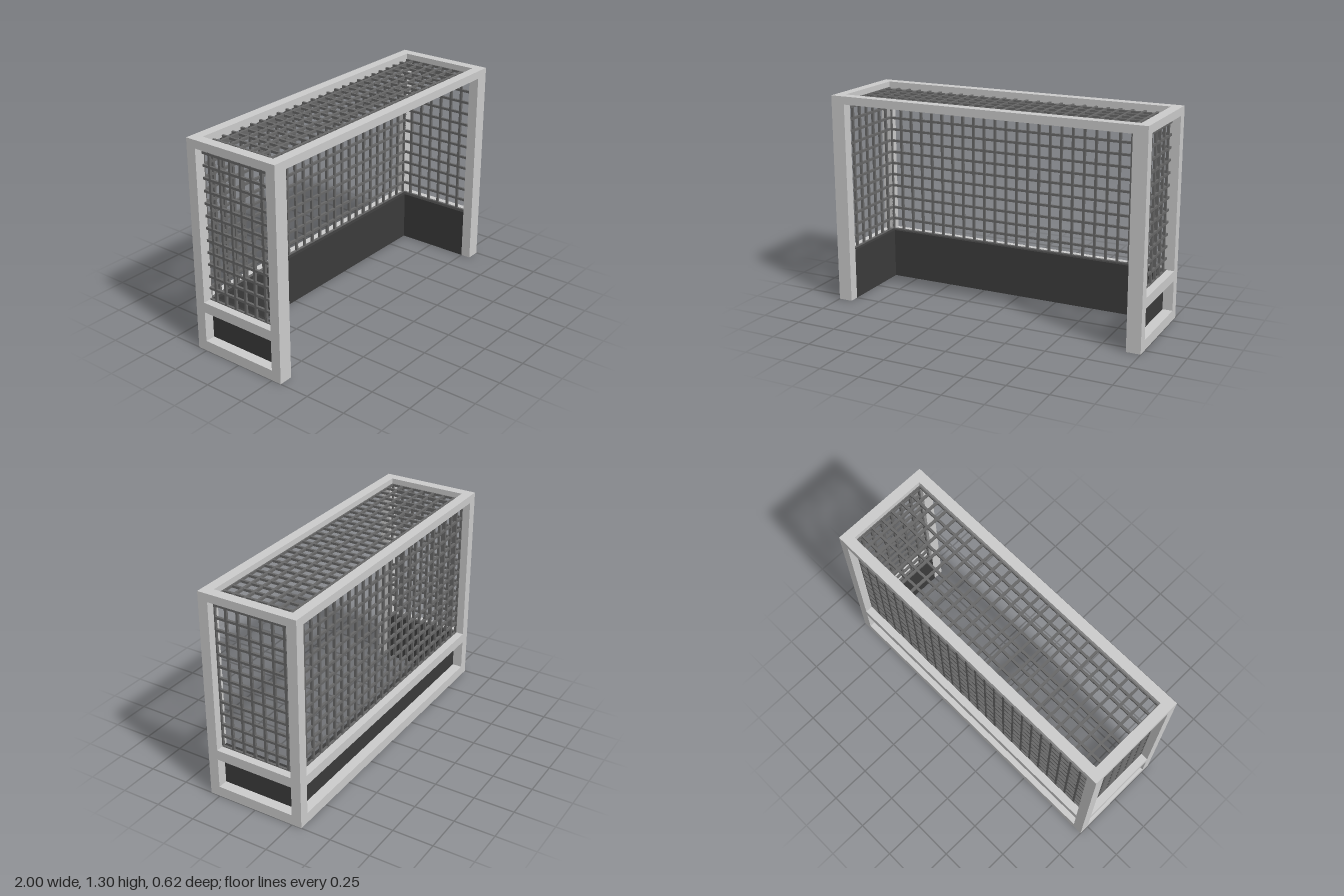
import * as THREE from 'three';

const frameMat = new THREE.MeshStandardMaterial({ color: 0xcccccc });
const boardMat = new THREE.MeshStandardMaterial({ color: 0x3b3b3b });
const netMat = new THREE.MeshStandardMaterial({ color: 0x686868 });

const W = 1, H = 1.3, D = 0.312; // half width, height, half depth
const T = 0.0625;                // frame thickness
const BAR = 0.049;               // top bar height
const IX = W - T, IZ = D - T;    // inner faces of the frame
const BOARD = 0.025, RAIL_TOP = 0.315;
const S = 0.0145, STEP = 0.075;  // net strand thickness and spacing

// Box given by its min and max corners
function block(parent, name, mat, [x0, y0, z0], [x1, y1, z1]) {
  const mesh = new THREE.Mesh(new THREE.BoxGeometry(x1 - x0, y1 - y0, z1 - z0), mat);
  mesh.position.set((x0 + x1) / 2, (y0 + y1) / 2, (z0 + z1) / 2);
  mesh.name = name;
  parent.add(mesh);
}

// Same box on the left (+x) and on the right (-x)
function pair(parent, name, mat, [x0, y0, z0], [x1, y1, z1]) {
  block(parent, name + 'Left', mat, [x0, y0, z0], [x1, y1, z1]);
  block(parent, name + 'Right', mat, [-x1, y0, z0], [-x0, y1, z1]);
}

// Square strand along one axis, from a to b
function strand(parent, a, b) {
  const h = S / 2;
  block(parent, 'netStrand', netMat,
    a.map((v, i) => (v === b[i] ? v - h : v)),
    b.map((v, i) => (v === a[i] ? v + h : v)));
}

// Evenly spaced strand positions
const row = (start, step, count) => Array.from({ length: count }, (_, i) => start + i * step);

export function createModel() {
  const goal = new THREE.Group();
  goal.name = 'goal';

  // Frame: posts, top bars, and the rails around the lower boards
  const frame = new THREE.Group();
  frame.name = 'frame';
  goal.add(frame);
  const top = H - BAR;
  pair(frame, 'frontPost', frameMat, [IX - BOARD, 0, IZ], [W, top, D]);
  pair(frame, 'backPost', frameMat, [IX, 0, -D], [W, top, -IZ]);
  block(frame, 'crossbar', frameMat, [-W, top, IZ], [W, H, D]);
  block(frame, 'backTopBar', frameMat, [-W, top, -D], [W, H, -IZ]);
  pair(frame, 'sideTopBar', frameMat, [IX, top, -IZ], [W, H, IZ]);
  for (const [name, y0, y1] of [['BottomRail', 0, 0.064], ['MiddleRail', 0.2525, RAIL_TOP]]) {
    block(frame, 'back' + name, frameMat, [-IX, y0, -D], [IX, y1, -IZ]);
    pair(frame, 'side' + name, frameMat, [IX, y0, -IZ], [W, y1, IZ]);
  }

  // Solid boards lining the lower part
  const boards = new THREE.Group();
  boards.name = 'boards';
  goal.add(boards);
  block(boards, 'backBoard', boardMat, [-IX, 0, -IZ], [IX, RAIL_TOP, -IZ + BOARD]);
  pair(boards, 'sideBoard', boardMat, [IX - BOARD, 0, -IZ + BOARD], [IX, RAIL_TOP, IZ]);

  // Net panels, set just within the inner faces of the frame
  const xs = row(-IX, STEP, 26);
  const ys = row(0.3135, STEP, 13);
  const zs = row(0.2485, -STEP, 7);
  const nx = IX + S / 2, nz = -IZ - S / 2, ny = top + S / 2;
  const net = (name) => {
    const g = new THREE.Group();
    g.name = name;
    goal.add(g);
    return g;
  };

  const back = net('backNet');
  for (const x of xs) strand(back, [x, 0.31, nz], [x, ny, nz]);
  for (const y of ys) strand(back, [-IX, y, nz], [IX, y, nz]);

  for (const side of [1, -1]) {
    const g = net(side > 0 ? 'leftNet' : 'rightNet');
    for (const z of zs) strand(g, [side * nx, 0.31, z], [side * nx, ny, z]);
    for (const y of ys) strand(g, [side * nx, y, -IZ], [side * nx, y, IZ]);
  }

  const roof = net('topNet');
  for (const x of xs) strand(roof, [x, ny, -IZ], [x, ny, IZ]);
  for (const z of zs) strand(roof, [-IX, ny, z], [IX, ny, z]);

  return goal;
}
